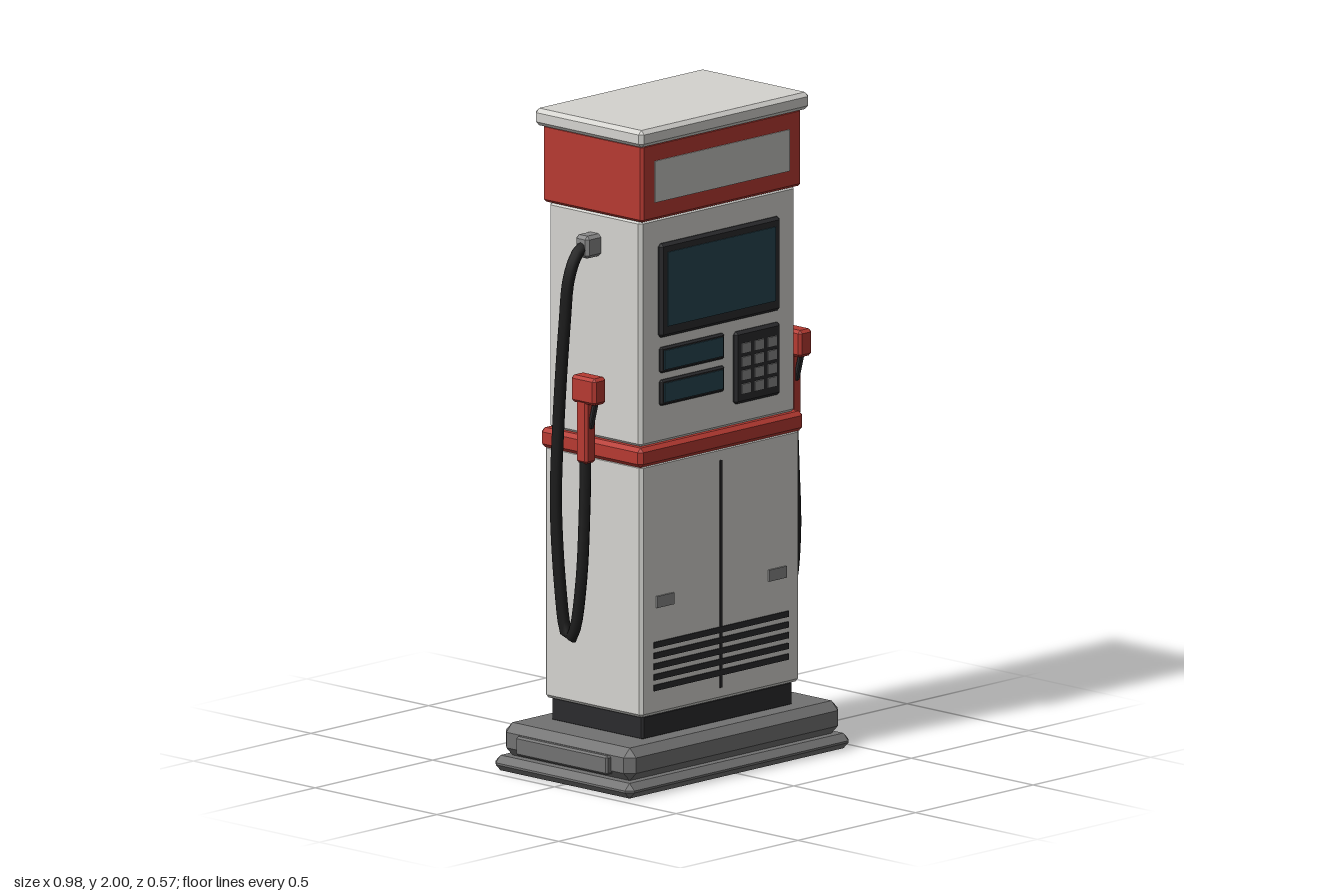
import * as THREE from 'three';
import { ConvexGeometry } from 'three/addons/geometries/ConvexGeometry.js';

const mat = (name, color) => {
  const m = new THREE.MeshStandardMaterial({ color });
  m.name = name;
  return m;
};

// Box with flat chamfered edges and corners
function chamferBox(w, h, d, c) {
  const pts = [];
  for (const x of [-1, 1]) for (const y of [-1, 1]) for (const z of [-1, 1]) {
    const [X, Y, Z] = [w / 2, h / 2, d / 2];
    pts.push(
      new THREE.Vector3(x * X, y * (Y - c), z * (Z - c)),
      new THREE.Vector3(x * (X - c), y * Y, z * (Z - c)),
      new THREE.Vector3(x * (X - c), y * (Y - c), z * Z));
  }
  return new ConvexGeometry(pts);
}

export function createModel() {
  const white = mat('cabinetWhite', 0xd4d3cf);
  const red = mat('red', 0xb63a32);
  const charcoal = mat('charcoal', 0x2b2b2d);
  const rubber = mat('hoseBlack', 0x1c1c1c);
  const glass = mat('screenGlass', 0x274550);
  const concrete = mat('baseGrey', 0x727272);
  const sign = mat('signGrey', 0xc4c4c0);
  const metal = mat('metalGrey', 0x888888);

  const model = new THREE.Group();
  model.name = 'fuelPump';

  // Add a box given by its extents; c is the chamfer (0 = sharp)
  function box(parent, name, material, [x0, x1], [y0, y1], [z0, z1], c = 0) {
    const w = x1 - x0, h = y1 - y0, d = z1 - z0;
    const geo = c ? chamferBox(w, h, d, c) : new THREE.BoxGeometry(w, h, d);
    const mesh = new THREE.Mesh(geo, material);
    mesh.name = name;
    mesh.position.set((x0 + x1) / 2, (y0 + y1) / 2, (z0 + z1) / 2);
    parent.add(mesh);
    return mesh;
  }
  const sym = (v) => [-v, v];

  // Stacked body
  box(model, 'baseSlab', concrete, sym(0.475), [0, 0.046], sym(0.285), 0.02);
  box(model, 'baseStep', concrete, sym(0.455), [0.046, 0.145], sym(0.267), 0.026);
  box(model, 'plinth', charcoal, sym(0.32), [0.14, 0.215], sym(0.188), 0.006);
  box(model, 'lowerCabinet', white, sym(0.338), [0.212, 0.98], sym(0.2), 0.01);
  box(model, 'belt', red, sym(0.349), [0.972, 1.032], sym(0.208), 0.012);
  box(model, 'upperCabinet', white, sym(0.33), [1.03, 1.718], sym(0.19), 0.01);
  box(model, 'header', red, sym(0.34), [1.716, 1.952], sym(0.205), 0.008);
  box(model, 'roofCap', white, sym(0.36), [1.948, 2], sym(0.222), 0.012);

  // Front and back fittings, mirrored in z
  for (const s of [1, -1]) {
    const face = new THREE.Group();
    face.name = s > 0 ? 'frontFace' : 'backFace';
    model.add(face);
    const slab = (name, m, xs, ys, z0, z1, c) =>
      box(face, name, m, xs, ys, s > 0 ? [z0, z1] : [-z1, -z0], c);

    slab('signPanel', sign, sym(0.286), [1.77, 1.896], 0.201, 0.208);

    // Main screen and two small displays
    slab('screenFrame', charcoal, sym(0.256), [1.352, 1.637], 0.18, 0.203, 0.009);
    slab('screen', glass, sym(0.23), [1.385, 1.61], 0.199, 0.206);
    for (const y of [1.283, 1.184]) {
      slab('displayFrame', charcoal, [-0.252, 0.02], [y - 0.039, y + 0.039], 0.18, 0.2, 0.006);
      slab('display', glass, [-0.241, 0.009], [y - 0.029, y + 0.029], 0.196, 0.203);
    }

    // Keypad
    slab('keypad', charcoal, [0.063, 0.257], [1.096, 1.316], 0.18, 0.202, 0.009);
    for (let r = 0; r < 4; r++) for (let k = 0; k < 3; k++) {
      const x = 0.105 + k * 0.055, y = 1.264 - r * 0.041;
      slab('key', metal, [x - 0.019, x + 0.019], [y - 0.015, y + 0.015], 0.199, 0.207);
    }

    // Doors: seam, handles and vent slots
    slab('doorSeam', charcoal, sym(0.005), [0.25, 0.94], 0.196, 0.203);
    for (const x of [-0.239, 0.239])
      slab('doorHandle', metal, [x - 0.037, x + 0.037], [0.538, 0.573], 0.198, 0.206);
    for (let i = 0; i < 5; i++) {
      const y = 0.296 + i * 0.0325;
      slab('ventSlot', charcoal, sym(0.286), [y - 0.009, y + 0.009], 0.197, 0.204);
    }
  }

  // Side fittings: base plate, hose and nozzle on each side
  for (const s of [1, -1]) {
    const side = new THREE.Group();
    side.name = s > 0 ? 'leftSide' : 'rightSide';
    model.add(side);
    const part = (name, m, x0, x1, ys, zs, c) =>
      box(side, name, m, s > 0 ? [x0, x1] : [-x1, -x0], ys, zs, c);

    part('basePlate', concrete, 0.44, 0.472, [0.06, 0.118], sym(0.188), 0.006);
    part('hoseFitting', metal, 0.32, 0.388, [1.585, 1.653], sym(0.027), 0.01);

    const path = new THREE.CatmullRomCurve3([
      [0.375, 1.62, 0], [0.405, 1.6, 0], [0.437, 1.53, -0.002], [0.45, 1.4, -0.006],
      [0.464, 1.1, -0.018], [0.473, 0.85, -0.02], [0.47, 0.6, -0.005],
      [0.465, 0.47, 0.012], [0.463, 0.446, 0.027], [0.461, 0.475, 0.045],
      [0.455, 0.63, 0.067], [0.444, 0.85, 0.07], [0.438, 1.02, 0.068],
    ].map(([x, y, z]) => new THREE.Vector3(s * x, y, z)));
    const hose = new THREE.Mesh(new THREE.TubeGeometry(path, 56, 0.018, 8), rubber);
    hose.name = 'hose';
    side.add(hose);

    part('nozzleHead', red, 0.41, 0.465, [1.168, 1.25], [0.03, 0.13], 0.009);
    part('nozzleGrip', red, 0.415, 0.46, [0.985, 1.2], [0.046, 0.092], 0.008);
    const trigger = part('trigger', charcoal, 0.429, 0.446, [1.09, 1.18], [0.092, 0.106], 0.003);
    trigger.rotation.x = 0.25;
  }

  // Nozzle holster, on one side only
  box(model, 'nozzleHolster', charcoal, [0.325, 0.406], [0.962, 1.258], [-0.022, 0.11], 0.009);

  return model;
}
